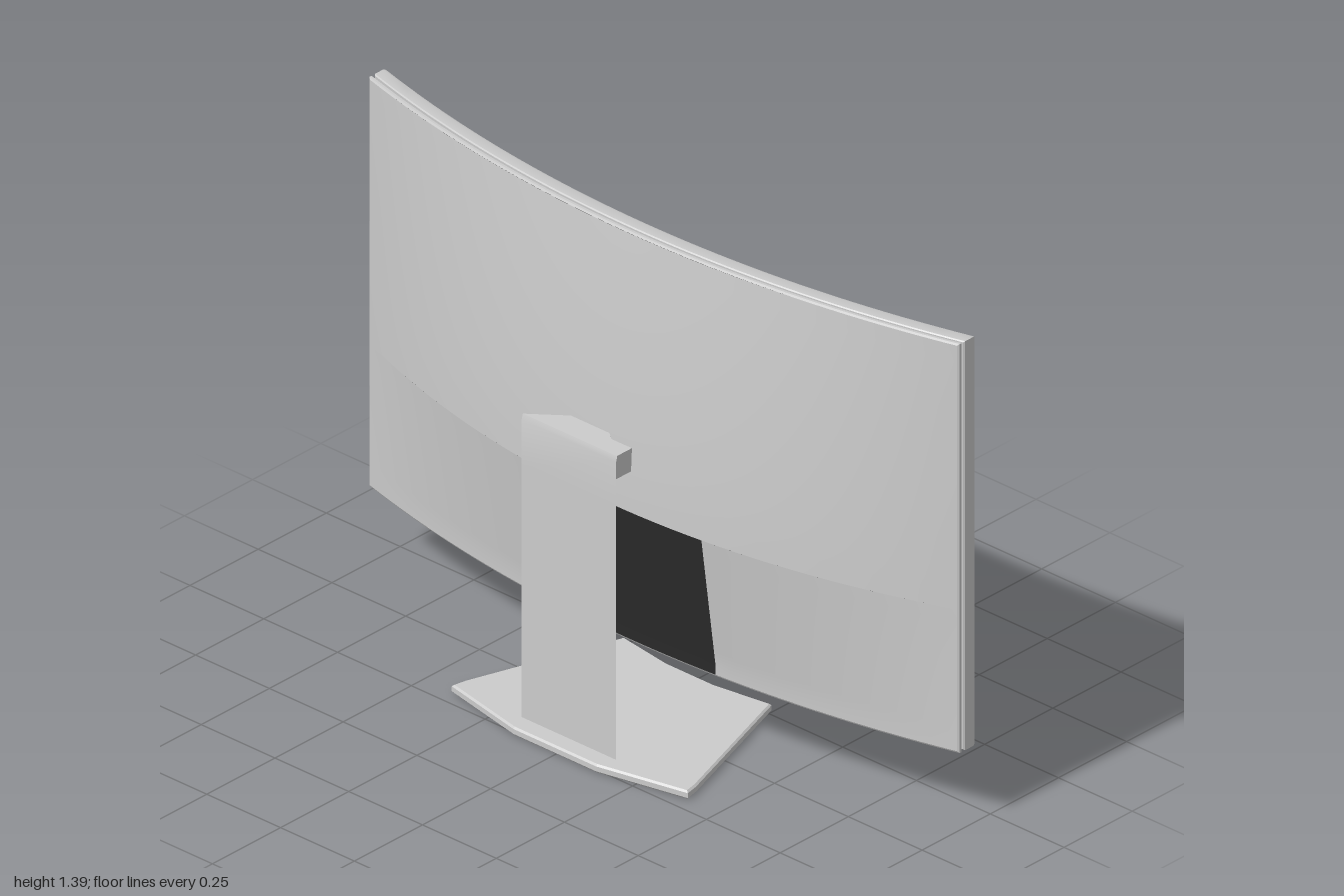
import * as THREE from 'three';
import { toCreasedNormals } from 'three/addons/utils/BufferGeometryUtils.js';

const Y0 = 0.22, Y1 = 1.388, HW = 1, RIDGE = 0.63, COVER = 0.29;
const R = 3.77; // radius of the curved display

// How far the display is bent forward at z
const arc = (z) => R - Math.sqrt(R * R - z * z);

// Bulge of the rear shell: curved above the ridge, sloping straight below it
function bulge(y, z) {
  const g = y > RIDGE
    ? 1 - Math.pow(Math.min(1, (y - RIDGE) / (Y1 - RIDGE)), 1.5)
    : Math.max(0, 1 - (RIDGE - y) / 0.38);
  return 0.057 * g * (1 - z * z);
}
const backX = (y, z) => arc(z) - bulge(y, z);
const recessX = (y, z) => backX(y, z) + 0.2 * bulge(y, z);

// Surface from a rule p(i, j) -> [x, y, z]; it faces along di x dj
function patch(nu, nv, p) {
  const pos = [], idx = [];
  for (let j = 0; j <= nv; j++) for (let i = 0; i <= nu; i++) pos.push(...p(i, j));
  for (let j = 0; j < nv; j++) {
    for (let i = 0; i < nu; i++) {
      const a = j * (nu + 1) + i, b = a + nu + 1;
      idx.push(a, a + 1, b, a + 1, b + 1, b);
    }
  }
  const geo = new THREE.BufferGeometry();
  geo.setAttribute('position', new THREE.Float32BufferAttribute(pos, 3));
  geo.setIndex(idx);
  return toCreasedNormals(geo, 0.5);
}

// Rectangular patch in y and z with x given by a rule
function sheet(xAt, y0, y1, z0, z1, nz, ny) {
  return patch(nz, ny, (i, j) => {
    const y = y0 + (y1 - y0) * j / ny, z = z0 + (z1 - z0) * i / nz;
    return [xAt(y, z), y, z];
  });
}

// Loft of bent rectangular rings, each [x offset, inset, extra inset at the bottom]
function rings(list) {
  const n = 40;
  return patch(2 * n + 2, list.length - 1, (i, j) => {
    const [dx, inset, extra = 0] = list[j];
    const h = HW - inset, lo = Y0 + inset + extra, hi = Y1 - inset;
    let y = lo, z = -h;
    if (i >= 1 && i <= n + 1) { y = hi; z = -h + 2 * h * (i - 1) / n; }
    else if (i > n + 1) z = h - 2 * h * (i - n - 2) / n;
    return [arc(z) + dx, y, z];
  });
}

export function createModel() {
  const model = new THREE.Group();
  model.name = 'curvedMonitor';
  const grey = new THREE.MeshStandardMaterial({ color: 0xcccccc, side: THREE.DoubleSide });
  const dark = new THREE.MeshStandardMaterial({ color: 0x2a2a2a, side: THREE.DoubleSide });
  const add = (name, geo, mat = grey, parent = model) => {
    const mesh = new THREE.Mesh(geo, mat);
    mesh.name = name;
    parent.add(mesh);
    return mesh;
  };

  // Display: bezel, screen and the groove behind the bezel
  add('bezel', rings([
    [0.02, 0.012], [0.02, 0.003], [0.023, 0], [0.053, 0], [0.061, 0.003],
    [0.065, 0.01], [0.065, 0.026, 0.018], [0.06, 0.027, 0.018],
  ]));
  add('screen', sheet((y, z) => arc(z) + 0.06, Y0 + 0.045, Y1 - 0.027, HW - 0.027, -HW + 0.027, 40, 1), dark);
  add('groove', rings([[0.01, 0.012], [0.02, 0.012]]));

  // Rear shell, left open at the lower middle for the cable cover
  const shell = new THREE.Group();
  shell.name = 'rearShell';
  model.add(shell);
  const e = 0.005, lo = Y0 + e, hi = Y1 - e, w = HW - e;
  add('shellRim', rings([[0, e], [0.003, 0], [0.01, 0], [0.01, 0.012]]), grey, shell);
  add('shellUpper', sheet(backX, RIDGE, hi, -w, w, 40, 16), grey, shell);
  for (const s of [-1, 1]) {
    const [a, b] = s < 0 ? [-w, -COVER] : [COVER, w];
    add('shellLower', sheet(backX, lo, RIDGE, a, b, 16, 12), grey, shell);
    // Side wall of the recess
    add('recessSide', patch(1, 12, (i, j) => {
      const y = lo + (RIDGE - lo) * j / 12;
      return [(i ? recessX : backX)(y, s * COVER), y, s * COVER];
    }), grey, shell);
  }
  add('recessTop', patch(12, 1, (i, j) => {
    const z = -COVER + 2 * COVER * i / 12;
    return [(j ? backX : recessX)(RIDGE, z), RIDGE, z];
  }), grey, shell);
  add('cableCover', sheet(recessX, lo, RIDGE, -COVER, COVER, 12, 12), dark);

  // Stand column: a trapezoid in plan, thinner towards the foot
  const column = new THREE.BoxGeometry(1, 1, 1, 1, 3, 1);
  const cp = column.attributes.position;
  const levels = [[0.02, -0.153], [0.74, -0.129], [0.875, -0.129], [0.89, -0.135]];
  for (let i = 0; i < cp.count; i++) {
    const [y, front] = levels[Math.round((cp.getY(i) + 0.5) * 3)];
    const isFront = cp.getX(i) > 0;
    const back = y > 0.88 ? -0.209 : -0.213;
    cp.setXYZ(i, isFront ? front : back, y, Math.sign(cp.getZ(i)) * (isFront ? 0.065 : 0.16));
  }
  add('standColumn', toCreasedNormals(column, 0.3));

  // Arm between column and display
  add('mountArm', new THREE.BoxGeometry(0.12, 0.065, 0.125)).position.set(-0.085, 0.778, 0);

  // Foot plate with chamfered edges
  const half = [[-0.265, 0.14], [-0.21, 0.4], [-0.17, 0.392], [0.26, 0.25], [0.235, 0.08]];
  const outline = [...half, ...half.map(([x, z]) => [x, -z]).reverse()];
  const foot = new THREE.ExtrudeGeometry(
    new THREE.Shape(outline.map(([x, z]) => new THREE.Vector2(x, z))),
    { depth: 0.014, bevelThickness: 0.005, bevelSize: 0.005, bevelOffset: -0.005, bevelSegments: 1 },
  );
  foot.rotateX(Math.PI / 2);
  add('footPlate', foot).position.y = 0.02;
  // Pad under the foot
  add('footPad', new THREE.BoxGeometry(0.25, 0.004, 0.44)).position.set(-0.07, 0.002, 0);

  return model;
}
